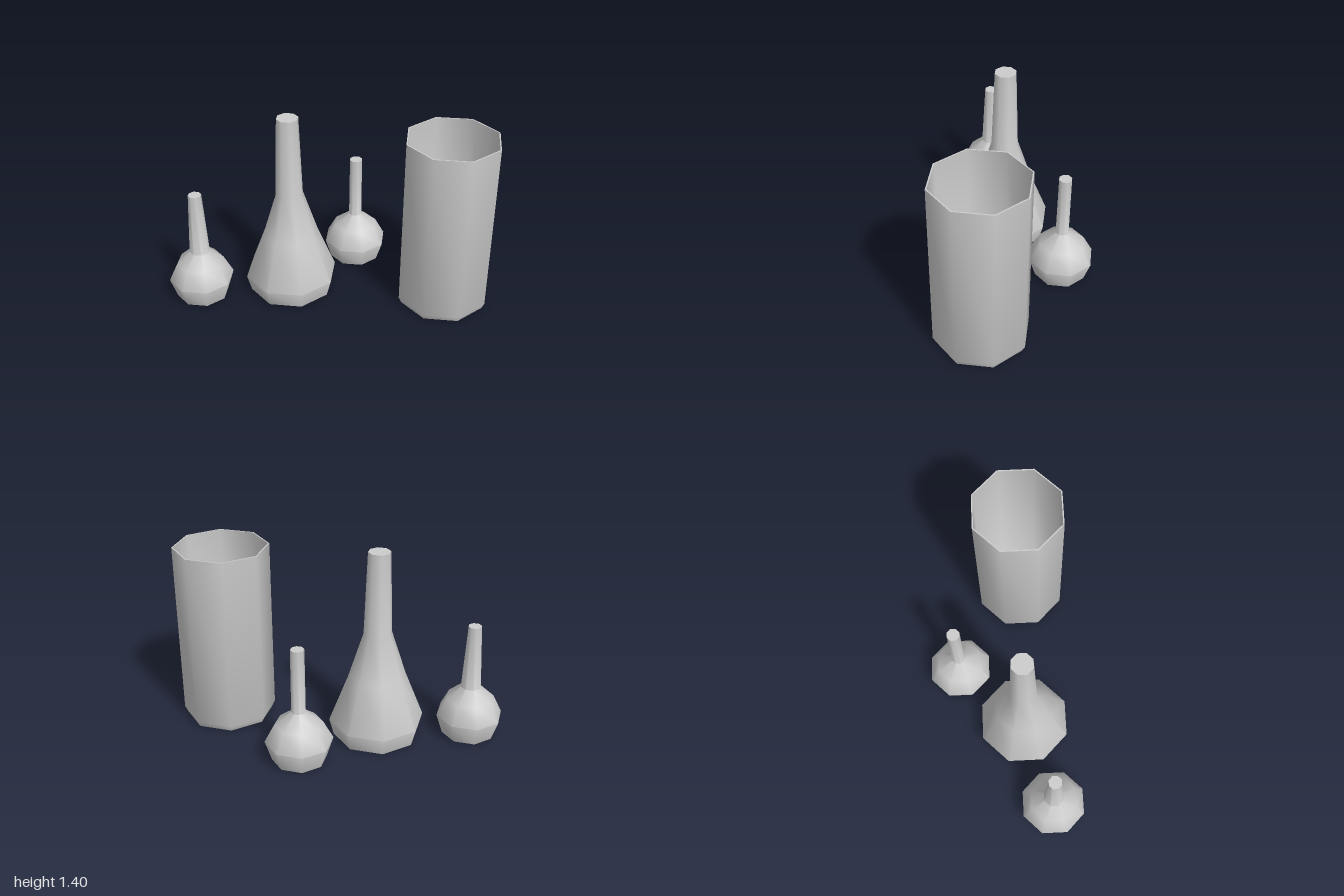
import * as THREE from 'three';
import { toCreasedNormals } from 'three/addons/utils/BufferGeometryUtils.js';

const SIDES = 8;
const TWIST = THREE.MathUtils.degToRad(10);

// Octagonal vessel turned from a [radius, height] profile, smooth around, sharp at base and lip
function vessel(name, profile, x, z, material) {
  const points = profile.map(([r, y]) => new THREE.Vector2(r, y));
  const lathe = new THREE.LatheGeometry(points, SIDES, TWIST);
  const mesh = new THREE.Mesh(toCreasedNormals(lathe, THREE.MathUtils.degToRad(54)), material);
  mesh.name = name;
  mesh.position.set(x, 0, z);
  return mesh;
}

// Round-bodied flask whose neck may widen towards the bulb
function bulbProfile(neckBase, shoulder) {
  return [
    [0, 0], [0.193, 0], [0.24, 0.148], [shoulder, 0.282],
    [neckBase, 0.374], [0.048, 0.85], [0, 0.85],
  ];
}

export function createModel() {
  const group = new THREE.Group();
  group.name = 'glasswareSet';
  const glass = new THREE.MeshStandardMaterial({ color: 0xcccccc });

  // Open beaker: outer wall, thin rim, inner wall and floor
  const beaker = [
    [0, 0], [0.321, 0], [0.341, 0.045], [0.341, 1.327],
    [0.331, 1.327], [0.331, 0.05], [0.312, 0.02], [0, 0.02],
  ];

  // Conical flask with a long closed neck
  const conical = [
    [0, 0], [0.31, 0], [0.343, 0.126], [0.207, 0.473],
    [0.101, 0.805], [0.079, 1.405], [0, 1.405],
  ];

  group.add(
    vessel('beaker', beaker, 0.5, 0.657, glass),
    vessel('conicalFlask', conical, -0.1, -0.317, glass),
    vessel('rightRoundFlask', bulbProfile(0.074, 0.174), -0.605, -0.765, glass),
    vessel('leftRoundFlask', bulbProfile(0.05, 0.168), 0.535, -0.204, glass),
  );
  return group;
}
